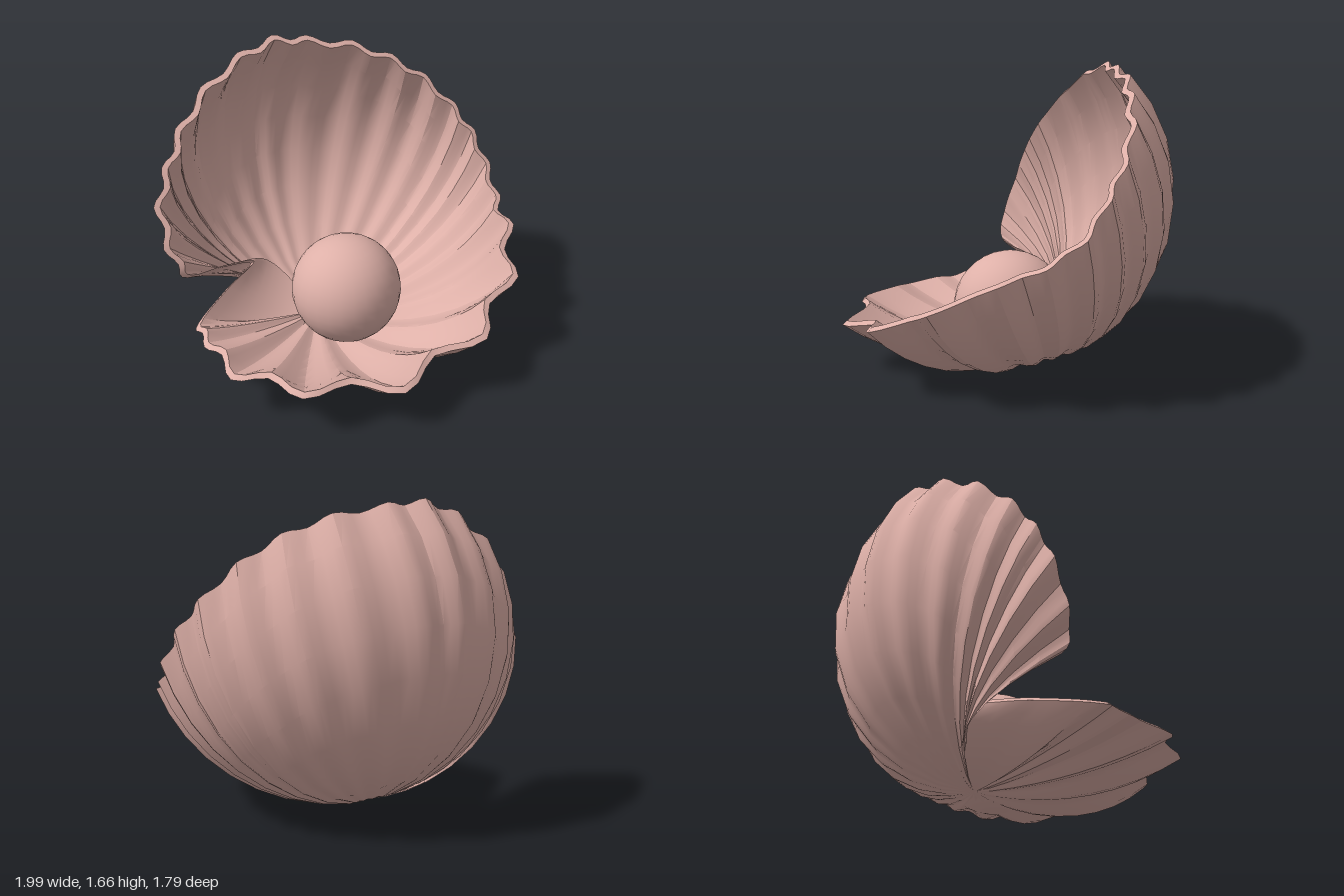
import * as THREE from 'three';
import { toCreasedNormals } from 'three/addons/utils/BufferGeometryUtils.js';

const V = (x, y, z) => new THREE.Vector3(x, y, z);
const { smoothstep, lerp } = THREE.MathUtils;

// The shell is a cap of a sphere about this centre
const CENTRE = V(0, 1, 0.1);
const HUB = V(-0.1, -0.93, -0.3).normalize();    // where the ribs meet
const BEND = V(-0.25, -0.65, -0.7).normalize();  // ribs of the upper flap sweep round the notch

// Rim: one point for each rib crest, then the notch between the two flaps
const RIM = [
  [-0.87, 0.29, 0.04], [-0.86, 0.27, 0.2], [-0.79, 0.25, 0.49], [-0.5, 0.26, 0.77],
  [-0.01, 0.25, 0.89], [0.5, 0.36, 0.76], [0.82, 0.52, 0.5], [0.95, 0.67, 0.2],
  [0.98, 0.75, -0.02], [1.0, 0.88, -0.2], [0.95, 1.05, -0.32], [0.86, 1.2, -0.42],
  [0.7, 1.37, -0.51], [0.5, 1.5, -0.56], [0.27, 1.59, -0.61], [0, 1.64, -0.63],
  [-0.2, 1.66, -0.63], [-0.42, 1.6, -0.56], [-0.65, 1.46, -0.47], [-0.82, 1.28, -0.37],
  [-0.92, 1.1, -0.3], [-0.99, 0.9, -0.25], [-0.97, 0.68, -0.17], [-0.89, 0.51, -0.14],
  [-0.65, 0.45, -0.27], [-0.45, 0.37, -0.39], [-0.65, 0.34, -0.2],
].map((p) => V(...p));
const LAST_CREST = 23;

function shellGeometry() {
  const rim = new THREE.CatmullRomCurve3(RIM, true, 'catmullrom', 0.5);
  const perRib = 6, steps = 9, thickness = 0.035;
  const columns = RIM.length * perRib;
  const rows = 2 * (steps + 1);
  const positions = [], index = [];

  for (let i = 0; i < columns; i++) {
    const u = i / perRib;
    const end = rim.getPoint(u / RIM.length).sub(CENTRE);
    const rimRadius = end.length();
    end.normalize();
    const sweep = smoothstep(u, 15, 25) * (1 - smoothstep(u, 25, 26));
    const middle = HUB.clone().add(end).normalize().lerp(BEND, sweep);

    // Valleys between crests are deeper on the wide front ribs
    const valley = u < LAST_CREST ? (1 - Math.cos(2 * Math.PI * u)) / 2 : 0;
    const wide = Math.max(0, 1 - Math.abs(u - 4.5) / 4);
    const depth = (0.04 + 0.05 * wide) * valley;
    const inset = (0.003 + 0.06 * wide) * valley;

    // The lower left flap is flatter, the upper flap fuller
    const upper = smoothstep(u, 8, 11) * (1 - smoothstep(u, 21, 24));
    const bulge = lerp(-0.03 * (1 - smoothstep(u, 1, 4)), 0.025, upper) * (1 - smoothstep(u, 22, 24));

    for (let j = 0; j < rows; j++) {
      // Outer face runs from hub to rim, inner face runs back
      const inner = j > steps;
      const s = (inner ? rows - 1 - j : j) / steps;
      const t = s * (1 - inset);
      const p = HUB.clone().multiplyScalar((1 - t) ** 2)
        .addScaledVector(middle, 2 * t * (1 - t))
        .addScaledVector(end, t * t)
        .normalize();
      const radius = 1 + (rimRadius - 1) * t * t + bulge * Math.sin(Math.PI * s)
        - depth * s - (inner ? thickness : 0);
      p.multiplyScalar(radius).add(CENTRE);
      positions.push(p.x, p.y, p.z);
    }
  }

  for (let i = 0; i < columns; i++) {
    const next = (i + 1) % columns;
    for (let j = 0; j < rows - 1; j++) {
      const a = i * rows + j, b = next * rows + j;
      if (j > 0) index.push(a, b, b + 1);
      if (j < rows - 2) index.push(a, b + 1, a + 1);
    }
  }

  const geometry = new THREE.BufferGeometry();
  geometry.setAttribute('position', new THREE.Float32BufferAttribute(positions, 3));
  geometry.setIndex(index);
  return toCreasedNormals(geometry, 0.45);
}

export function createModel() {
  const pink = new THREE.MeshStandardMaterial({ color: 0xdeb0a8 });
  pink.name = 'shellPink';

  const model = new THREE.Group();
  model.name = 'openShellWithPearl';

  const shell = new THREE.Mesh(shellGeometry(), pink);
  shell.name = 'shell';
  model.add(shell);

  const pearl = new THREE.Mesh(new THREE.SphereGeometry(0.314, 28, 18), pink);
  pearl.name = 'pearl';
  pearl.position.set(0.02, 0.318, -0.03);
  model.add(pearl);

  return model;
}
